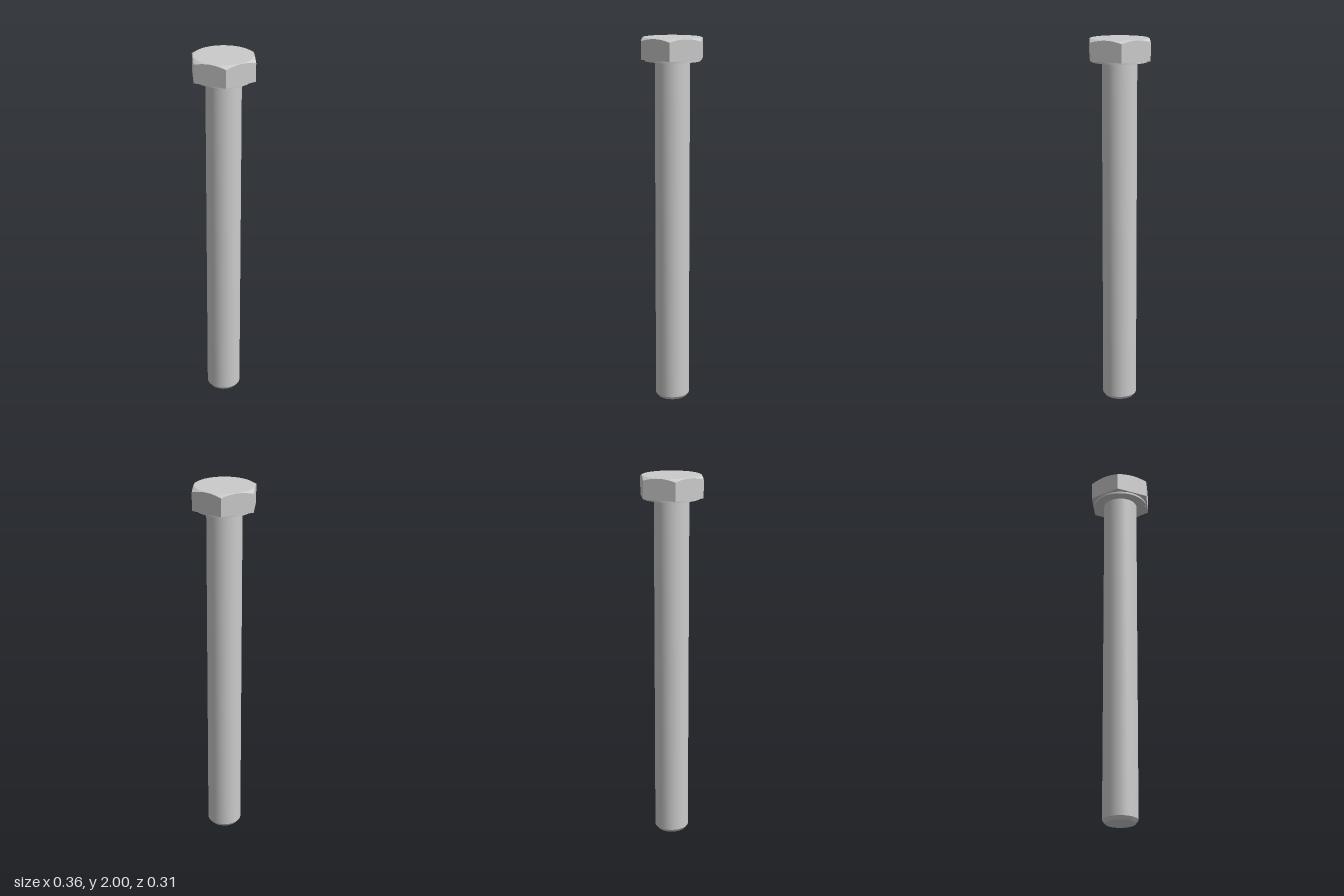
import * as THREE from 'three';
import { toCreasedNormals } from 'three/addons/utils/BufferGeometryUtils.js';

const APOTHEM = 0.156, HEAD_BOTTOM = 1.888, TOP = 2, CHAMFER_R = 0.154;
const material = new THREE.MeshStandardMaterial({ color: 0xcccccc });

function lathe(profile, segments) {
  return new THREE.LatheGeometry(profile.map(([r, y]) => new THREE.Vector2(r, y)), segments);
}

function addPart(group, name, geometry) {
  const mesh = new THREE.Mesh(toCreasedNormals(geometry, 0.4), material);
  mesh.name = name;
  group.add(mesh);
}

// Hexagonal prism whose top corners are cut by a 30 degree cone
function hexHeadGeometry() {
  const geometry = lathe([[0, HEAD_BOTTOM], [1, HEAD_BOTTOM], [1, TOP - 0.01], [CHAMFER_R, TOP], [0, TOP]], 48);
  const p = geometry.attributes.position;
  const sector = Math.PI / 3;
  for (let i = 0; i < p.count; i++) {
    const x = p.getX(i), z = p.getZ(i);
    if (Math.hypot(x, z) < 0.9) continue;
    // Push the rim onto the hexagon, flats facing front and back
    const angle = Math.atan2(x, z);
    const r = APOTHEM / Math.cos(angle - Math.round(angle / sector) * sector);
    const y = p.getY(i) > HEAD_BOTTOM + 0.01
      ? TOP - (r - CHAMFER_R) * Math.tan(Math.PI / 6)
      : HEAD_BOTTOM;
    p.setXYZ(i, r * Math.sin(angle), y, r * Math.cos(angle));
  }
  return geometry;
}

export function createModel() {
  const bolt = new THREE.Group();
  bolt.name = 'hexBolt';

  addPart(bolt, 'hexHead', hexHeadGeometry());

  // Thin round bearing face under the head
  addPart(bolt, 'washerFace', lathe([[0, 1.877], [0.148, 1.877], [0.148, HEAD_BOTTOM]], 32));

  // Plain shank with a chamfered tip
  addPart(bolt, 'shank', lathe([[0, 0], [0.079, 0], [0.093, 0.018], [0.093, 1.877]], 32));

  return bolt;
}
